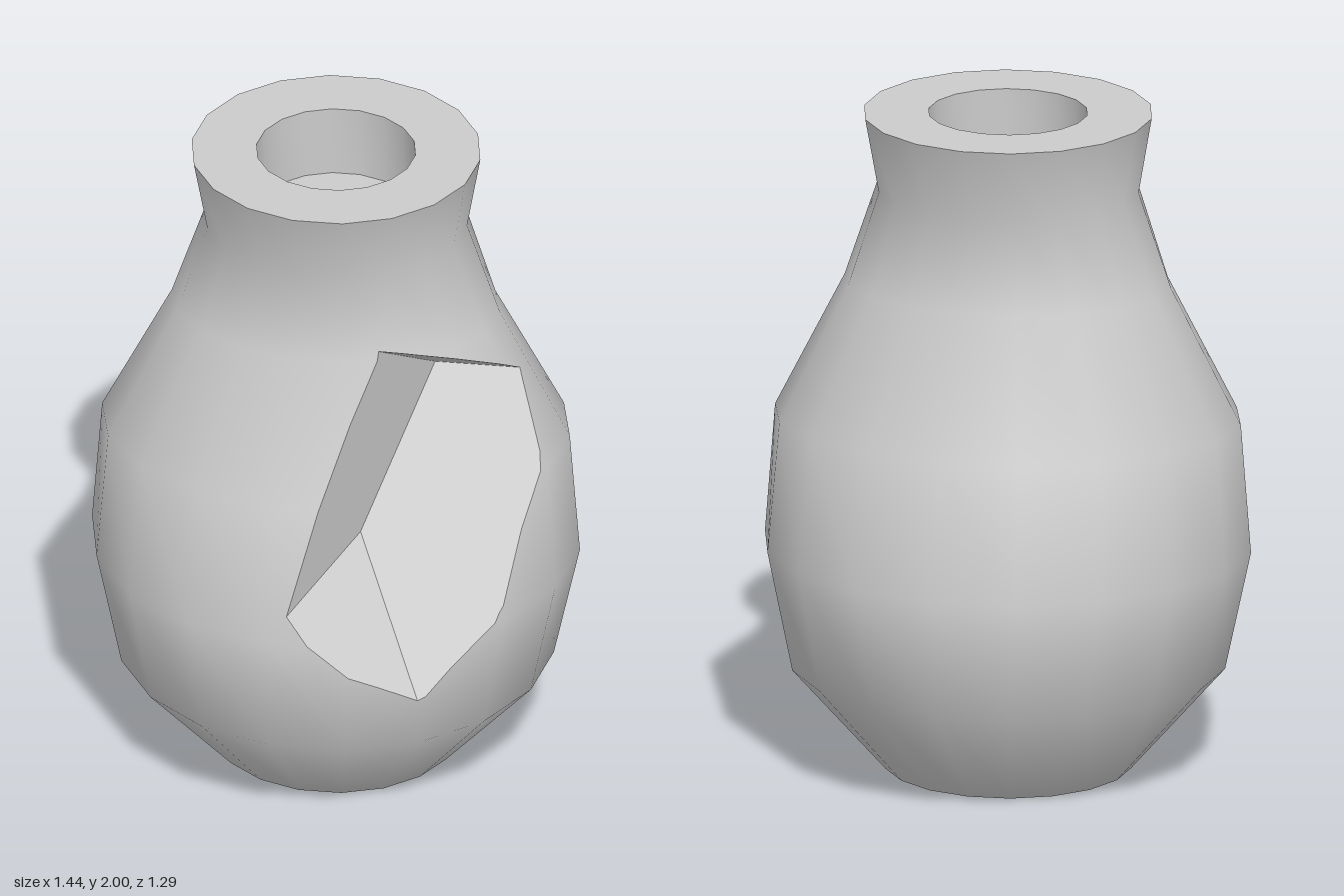
import * as THREE from 'three';
import { mergeVertices } from 'three/addons/utils/BufferGeometryUtils.js';

const SIDES = 18;
const V = (x, y, z) => new THREE.Vector3(x, y, z);

// Elliptical lathe: every row is [x radius, y, z radius], outer surface running upwards
function ellipticalLathe(rows) {
  const pts = rows.map((r, i) => new THREE.Vector2(1, i));
  let g = new THREE.LatheGeometry(pts, SIDES, Math.PI / 2);
  const p = g.attributes.position;
  for (let i = 0; i < p.count; i++) {
    const [rx, y, rz] = rows[i % rows.length];
    p.setXYZ(i, p.getX(i) * rx, y, p.getZ(i) * rz);
  }
  g.deleteAttribute('uv');
  g.deleteAttribute('normal');
  g = mergeVertices(g, 1e-4);
  g.computeVertexNormals();
  return g;
}

// Cut polygon by a plane into [inside, outside]; corners are {p, n}
function split(poly, plane) {
  const inside = [], outside = [];
  poly.forEach((a, i) => {
    const b = poly[(i + 1) % poly.length];
    const da = plane.distanceToPoint(a.p), db = plane.distanceToPoint(b.p);
    (da >= 0 ? inside : outside).push(a);
    if ((da >= 0) !== (db >= 0)) {
      const t = da / (da - db);
      const c = { p: a.p.clone().lerp(b.p, t), n: a.n.clone().lerp(b.n, t).normalize() };
      inside.push(c);
      outside.push(c);
    }
  });
  return [inside, outside];
}

function fromTriangles(points, normals) {
  const g = new THREE.BufferGeometry().setFromPoints(points);
  if (normals) g.setAttribute('normal', new THREE.Float32BufferAttribute(normals.flatMap(n => n.toArray()), 3));
  else g.computeVertexNormals();
  return g;
}

// Remove the convex space in front of all planes from a shell.
// Returns the remaining shell and the walls of the notch, fanned from apexes.
function carve(geometry, planes, apexes) {
  const pos = geometry.attributes.position, nor = geometry.attributes.normal, idx = geometry.index;
  const points = [], normals = [], walls = [], removed = [];
  const emit = poly => {
    for (let k = 1; k < poly.length - 1; k++) {
      for (const c of [poly[0], poly[k], poly[k + 1]]) { points.push(c.p); normals.push(c.n); }
    }
  };
  for (let i = 0; i < idx.count; i += 3) {
    let poly = [0, 1, 2].map(k => {
      const j = idx.getX(i + k);
      return { p: V().fromBufferAttribute(pos, j), n: V().fromBufferAttribute(nor, j) };
    });
    const pieces = [];
    const whole = poly;
    for (const plane of planes) {
      const [inside, outside] = split(poly, plane);
      pieces.push(outside);
      poly = inside;
      if (poly.length < 3) break;
    }
    if (poly.length < 3) { emit(whole); continue; }
    pieces.forEach(emit);
    poly.forEach((a, k) => {
      const b = poly[(k + 1) % poly.length];
      removed.push(a.p);
      planes.forEach((plane, w) => {
        const on = q => Math.abs(plane.distanceToPoint(q)) < 1e-6;
        if (on(a.p) && on(b.p)) walls.push(a.p, b.p, apexes[w]);
      });
    });
  }
  const rimCorner = (u, v) => removed.find(q =>
    [u, v].every(w => Math.abs(planes[w].distanceToPoint(q)) < 1e-6));
  return { shell: fromTriangles(points, normals), walls, rimCorner };
}

export function createModel() {
  const group = new THREE.Group();
  const add = (name, geometry) => {
    const mesh = new THREE.Mesh(geometry, new THREE.MeshStandardMaterial({ color: 0xcccccc, side: THREE.DoubleSide }));
    mesh.name = name;
    group.add(mesh);
  };

  // Rounded belly, narrow neck and flared lip
  const body = ellipticalLathe([
    [0.365, 0, 0.355], [0.645, 0.32, 0.635], [0.722, 0.68, 0.655], [0.692, 1.07, 0.53],
    [0.485, 1.48, 0.345], [0.388, 1.77, 0.345], [0.427, 2, 0.415],
  ]);

  // Angular notch in the front left: back, side, top and bottom walls
  const low = V(0.115, 0.885, 0.315), high = V(0.3, 1.325, 0.05);
  const topLeft = V(0.17, 1.51, 0.315), topRight = V(0.555, 1.325, 0.05);
  const midLeft = V(-0.09, 0.785, 0.62), bottom = V(0.335, 0.44, 0.58);
  const middle = V(0.4, 1, 0.6);
  const planes = [
    [low, topRight, high], [low, high, topLeft], [high, topRight, topLeft], [low, midLeft, bottom],
  ].map(c => {
    const plane = new THREE.Plane().setFromCoplanarPoints(...c);
    return plane.distanceToPoint(middle) < 0 ? plane.negate() : plane;
  });
  const { shell, walls, rimCorner } = carve(body, planes, [low, low, high, low]);
  const a = rimCorner(1, 2), c = rimCorner(0, 2);
  if (a) walls.push(a, low, high);
  if (c) walls.push(low, c, high);
  add('body', shell);
  add('notch', fromTriangles(walls));

  // Base, lip and the opening in the neck
  add('base', ellipticalLathe([[0, 0, 0], [0.365, 0, 0.355]]));
  add('lip', ellipticalLathe([[0.427, 2, 0.415], [0.235, 2, 0.227]]));
  add('openingWall', ellipticalLathe([[0.235, 2, 0.227], [0.235, 1.78, 0.227]]));
  add('openingFloor', ellipticalLathe([[0.235, 1.78, 0.227], [0, 1.78, 0]]));
  return group;
}
